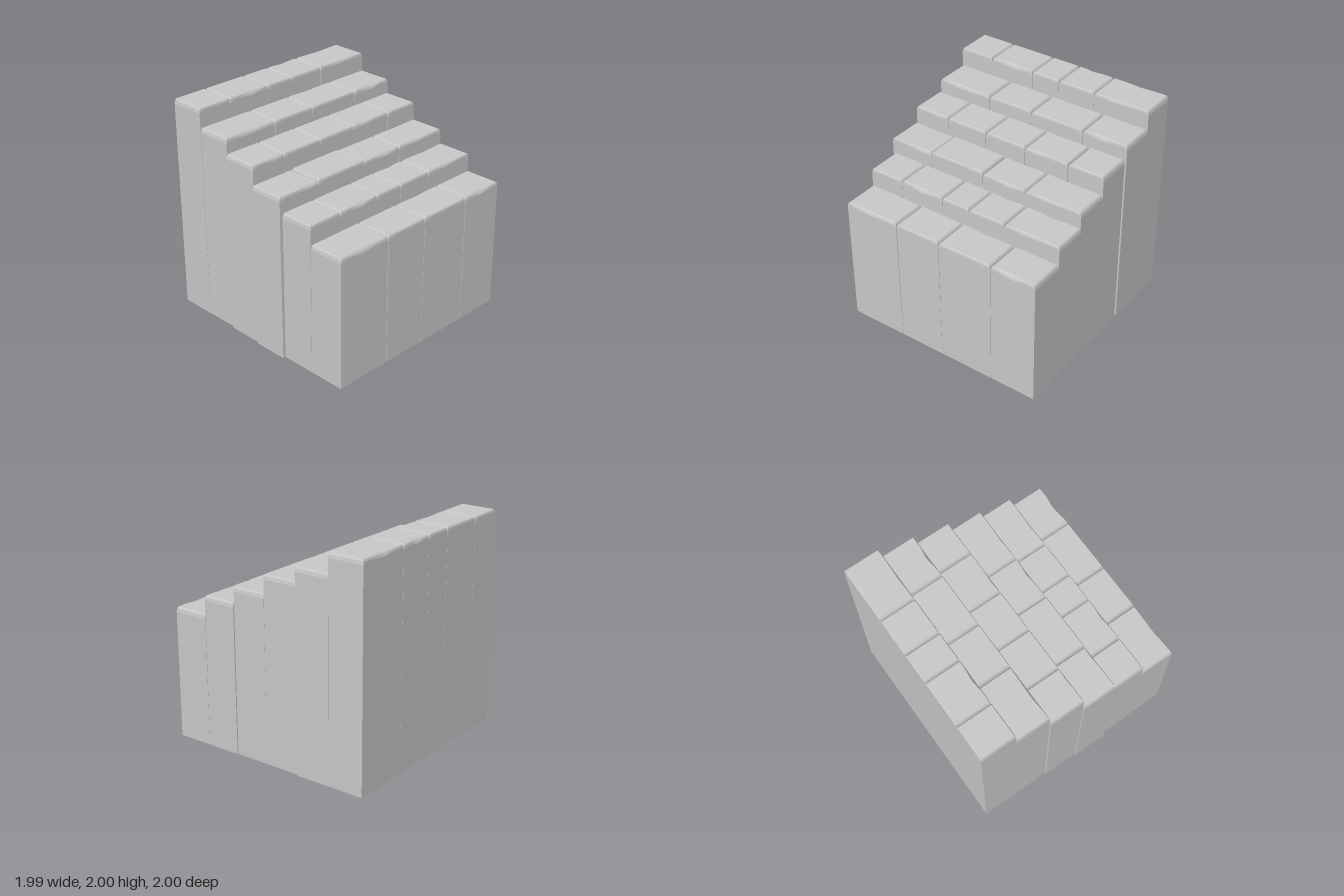
import * as THREE from 'three';

const stone = new THREE.MeshStandardMaterial({ color: 0xc9c9c9, flatShading: true, side: THREE.DoubleSide });
stone.name = 'stone';

// One tall block with bevelled top edges.
// chips: { side: 'front' | 'back', at: 0..1 along x, size } wear the top edge down.
function blockGeometry(x0, x1, z0, z1, top, chips, openBelow) {
  const along = [0, 0.1, 0.25, 0.4, 0.5, 0.6, 0.75, 0.9, 1];
  const point = (side, z) => (u) => ({ x: THREE.MathUtils.lerp(x0, x1, u), z, side, u });
  // Outline, counter-clockwise seen from above
  const ring = [
    ...along.map(point('front', z1)),
    ...[...along].reverse().map(point('back', z0)),
  ];

  // Height below the top and inset in x and z of each cross-section
  const levels = [[top, 0, 0], [0.045, 0.001, 0.001], [0.015, 0.007, 0.004], [0, 0.017, 0.011]];
  const cx = (x0 + x1) / 2, cz = (z0 + z1) / 2;
  const sx = (x1 - x0) / 2, sz = (z1 - z0) / 2;
  const pos = [], index = [], n = ring.length;
  levels.forEach(([drop, insetX, insetZ], l) => {
    for (const p of ring) {
      let wear = 0;
      for (const chip of chips) {
        if (chip.side === p.side) wear += chip.size * Math.max(0, 1 - Math.abs(p.u - chip.at) / 0.3);
      }
      // The bevel is deeper at the corners than along the front and back
      const depth = l > 0 && p.u > 0 && p.u < 1 ? 0.55 : 1;
      const cutZ = insetZ + [0, 0, 0.4, 1][l] * wear;
      const cutY = drop * depth + [0, 1, 0.7, 0][l] * wear;
      pos.push(
        cx + (p.x - cx) * (1 - insetX / sx),
        top - cutY,
        cz + (p.z - cz) * (1 - cutZ / sz)
      );
    }
  });
  for (let l = 0; l < levels.length - 1; l++) {
    for (let i = 0; i < n; i++) {
      const a = l * n + i, b = l * n + (i + 1) % n;
      index.push(a, b, b + n, a, b + n, a + n);
    }
  }
  // Top and bottom faces
  const topCentre = pos.length / 3;
  pos.push(cx, top, cz, cx, 0, cz);
  const last = (levels.length - 1) * n;
  for (let i = 0; i < n; i++) {
    const j = (i + 1) % n;
    index.push(last + i, last + j, topCentre);
    if (!openBelow) index.push(j, i, topCentre + 1);
  }
  const g = new THREE.BufferGeometry();
  g.setAttribute('position', new THREE.Float32BufferAttribute(pos, 3));
  g.setIndex(index);
  const flat = g.toNonIndexed();
  flat.computeVertexNormals();
  return flat;
}

const front = (at, size) => ({ side: 'front', at, size });
const back = (at, size) => ({ side: 'back', at, size });

// Block layouts: [left edge, right edge, chips, height change]
const fourBlocks = [
  [-0.97, -0.426, [front(0.45, 0.012), front(0.8, 0.006)], 0],
  [-0.422, 0.022, [], 0],
  [0.024, 0.552, [back(0.45, 0.009)], 0],
  [0.555, 0.992, [front(0.45, 0.016)], 0],
];
const fiveBlocks = [
  [-0.972, -0.633, [], 0],
  [-0.633, -0.195, [front(0.55, 0.014)], 0],
  [-0.195, 0.087, [], 0],
  [0.087, 0.446, [back(0.45, 0.014)], 0],
  [0.446, 0.99, [front(0.4, 0.006), back(0.5, 0.012)], 0],
];
const wideBlocks = [
  [-0.998, -0.558, [front(0.78, 0.01)], 0],
  [-0.558, -0.008, [], 0.01],
  [-0.008, 0.428, [front(0.6, 0.012)], 0],
  [0.428, 0.98, [front(0.4, 0.006), back(0.5, 0.006)], 0],
];
const evenBlocks = [
  [-0.985, -0.629, [front(0.7, 0.006)], 0],
  [-0.629, -0.217, [], 0],
  [-0.217, 0.195, [], 0],
  [0.195, 0.63, [front(0.25, 0.008), back(0.5, 0.006)], 0],
  [0.634, 0.98, [], 0],
];

// Steps from front to back; open lists the blocks without an underside
const steps = [
  { z0: 0.657, z1: 0.996, top: 1.22, blocks: fourBlocks, open: [] },
  { z0: 0.333, z1: 0.657, top: 1.388, blocks: fiveBlocks, open: [4] },
  { z0: 0.005, z1: 0.333, top: 1.53, blocks: wideBlocks, open: [] },
  { z0: -0.329, z1: 0.005, top: 1.698, blocks: evenBlocks, open: [2, 3] },
  { z0: -0.664, z1: -0.333, top: 1.828, blocks: fourBlocks, open: [3] },
  { z0: -1.0, z1: -0.664, top: 2.0, blocks: fiveBlocks, open: [] },
];

export function createModel() {
  const model = new THREE.Group();
  model.name = 'stoneSteps';
  steps.forEach((s, i) => {
    const row = new THREE.Group();
    row.name = `step${i + 1}`;
    s.blocks.forEach(([x0, x1, chips, dy], j) => {
      const geo = blockGeometry(x0, x1, s.z0, s.z1, s.top + dy, chips, s.open.includes(j));
      const mesh = new THREE.Mesh(geo, stone);
      mesh.name = `step${i + 1}Block${j + 1}`;
      row.add(mesh);
    });
    model.add(row);
  });
  return model;
}
